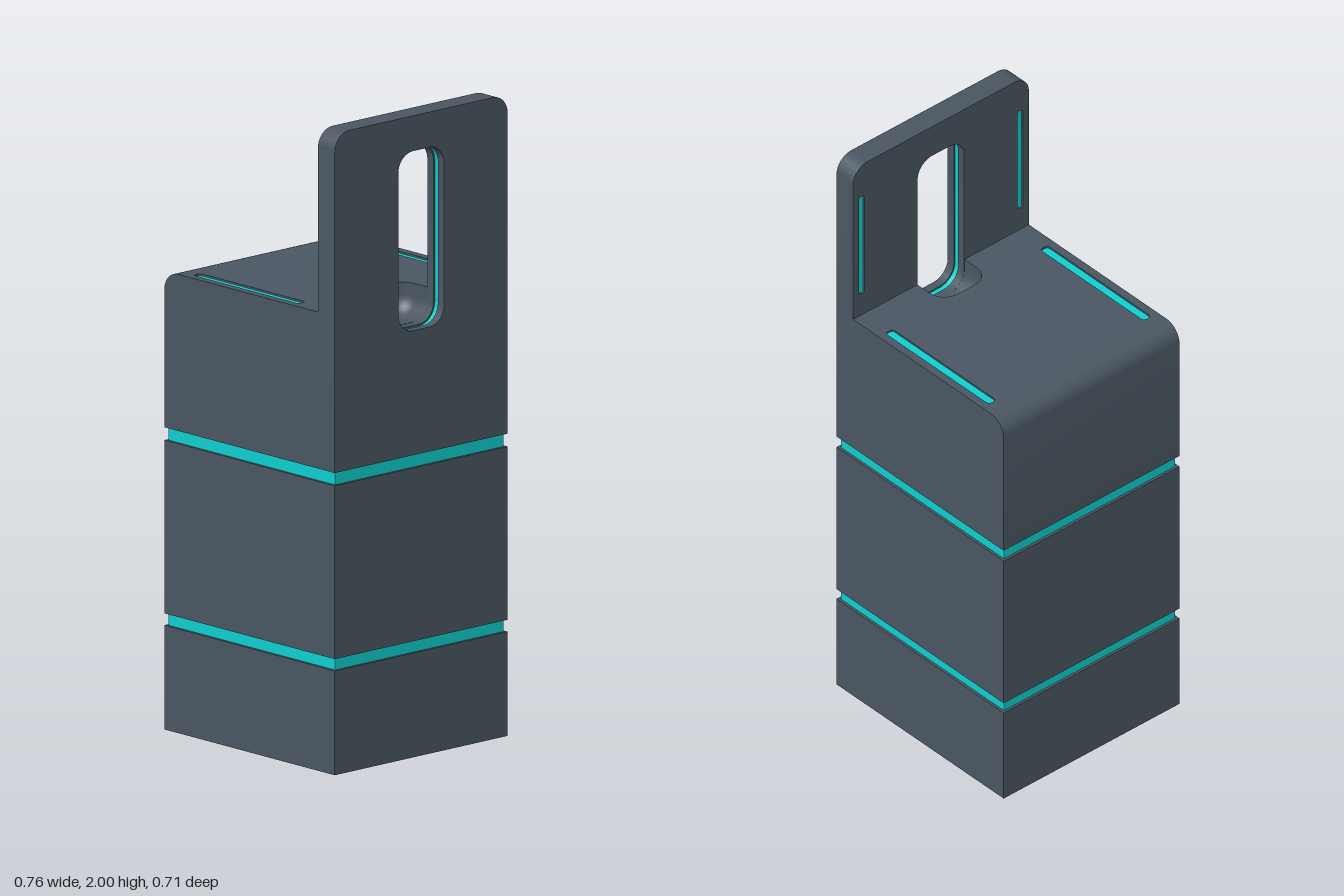
import * as THREE from 'three';
import { toCreasedNormals } from 'three/addons/utils/BufferGeometryUtils.js';

const dark = new THREE.MeshStandardMaterial({ color: 0x4a5662 });
const darkTwoSided = new THREE.MeshStandardMaterial({ color: 0x4a5662, side: THREE.DoubleSide });
const glow = new THREE.MeshStandardMaterial({ color: 0x0fd0d0 });

const HX = 0.38, HZ = 0.355;         // half sizes of the body
const SEAT = 1.43, PLATE = 0.305;    // seat height, inner face of the backrest
const R = 0.06;                      // common corner radius

// Rounded rectangle outline, written into a Shape or Path
function roundRect(path, x0, y0, x1, y1, r) {
  path.moveTo(x0 + r, y0);
  path.lineTo(x1 - r, y0);
  path.absarc(x1 - r, y0 + r, r, -Math.PI / 2, 0);
  path.lineTo(x1, y1 - r);
  path.absarc(x1 - r, y1 - r, r, 0, Math.PI / 2);
  path.lineTo(x0 + r, y1);
  path.absarc(x0 + r, y1 - r, r, Math.PI / 2, Math.PI);
  path.lineTo(x0, y0 + r);
  path.absarc(x0 + r, y0 + r, r, Math.PI, Math.PI * 1.5);
  return path;
}

// Extrude from a to b along the named axis
function extrude(shape, axis, a, b) {
  const geo = new THREE.ExtrudeGeometry(shape, { depth: b - a, bevelEnabled: false, curveSegments: 10 });
  geo.translate(0, 0, a);
  if (axis === 'x') geo.rotateY(Math.PI / 2);
  if (axis === 'y') geo.rotateX(-Math.PI / 2);
  return toCreasedNormals(geo, 0.6);
}

export function createModel() {
  const group = new THREE.Group();
  const add = (name, geo, mat) => {
    const mesh = new THREE.Mesh(geo, mat);
    mesh.name = name;
    group.add(mesh);
  };
  const slab = (name, y0, y1, inset, mat) => add(name,
    new THREE.BoxGeometry(2 * (HX - inset), y1 - y0, 2 * (HZ - inset)).translate(0, (y0 + y1) / 2, 0), mat);

  // Lower blocks and the recessed light bands between them
  slab('baseBlock', 0, 0.325, 0, dark);
  slab('lowerLightBand', 0.325, 0.362, 0.009, glow);
  slab('middleBlock', 0.362, 0.902, 0, dark);
  slab('upperLightBand', 0.902, 0.942, 0.009, glow);

  // Upper block with the rounded seat edge
  const side = new THREE.Shape();
  side.moveTo(-HX, 0.942);
  side.lineTo(PLATE, 0.942);
  side.lineTo(PLATE, 1.33);
  side.lineTo(-0.3, 1.33);
  side.lineTo(-0.3, SEAT);
  side.lineTo(-HX + R, SEAT);
  side.absarc(-HX + R, SEAT - R, R, Math.PI / 2, Math.PI);
  add('upperBlock', extrude(side, 'z', -HZ, HZ), dark);

  // Seat top, notched for the pocket, with two light grooves
  const seat = new THREE.Shape();
  seat.moveTo(-0.3, -HZ);
  seat.lineTo(PLATE, -HZ);
  seat.lineTo(PLATE, -0.095);
  seat.lineTo(0.25, -0.095);
  seat.absarc(0.25, -0.035, R, Math.PI * 1.5, Math.PI, true);
  seat.absarc(0.25, 0.035, R, Math.PI, Math.PI / 2, true);
  seat.lineTo(PLATE, 0.095);
  seat.lineTo(PLATE, HZ);
  seat.lineTo(-0.3, HZ);
  const seatLight = (Type, s) => roundRect(new Type(), -0.282, s * 0.313 - 0.015, 0.19, s * 0.313 + 0.015, 0.012);
  for (const s of [-1, 1]) {
    seat.holes.push(seatLight(THREE.Path, s));
    add(s > 0 ? 'seatLightFront' : 'seatLightBack', extrude(seatLight(THREE.Shape, s), 'y', 1.33, SEAT - 0.006), glow);
  }
  add('seatTop', extrude(seat, 'y', 1.33, SEAT), dark);

  // Scooped pocket: plan outlines that widen from a flat floor
  const pos = [], index = [], rows = 9, cols = 20;
  for (let i = 0; i <= rows; i++) {
    const a = Math.min(i / (rows - 1), 1) * Math.PI / 2;
    const r = R * Math.sin(a);
    const y = i === rows ? SEAT : 1.33 + R * (1 - Math.cos(a));
    pos.push(PLATE, y, -0.035 - r);
    for (let j = 0; j < cols; j++) {
      const half = j < cols / 2;
      const t = Math.PI / 2 * (half ? j : j - cols / 2) / (cols / 2 - 1) + (half ? 0 : Math.PI / 2);
      pos.push(0.25 - r * Math.sin(t), y, (half ? -0.035 : 0.035) - r * Math.cos(t));
    }
    pos.push(PLATE, y, 0.035 + r);
  }
  const n = cols + 2;
  for (let i = 0; i < rows; i++) for (let j = 0; j < n - 1; j++) {
    const a = i * n + j;
    index.push(a, a + 1, a + n, a + 1, a + n + 1, a + n);
  }
  const pocket = new THREE.BufferGeometry();
  pocket.setAttribute('position', new THREE.Float32BufferAttribute(pos, 3));
  pocket.setIndex(index);
  pocket.computeVertexNormals();
  add('pocket', pocket, darkTwoSided);
  add('pocketFloor', new THREE.BoxGeometry(0.055, 0.004, 0.07).translate(0.2775, 1.329, 0), dark);

  // Backrest in three layers, leaving a groove for the light ring in the slot
  const slot = (Type, o) => roundRect(new Type(), -0.094 - o, 1.33 - o, 0.094 + o, 1.89 + o, R + o);
  const backLight = (Type, s) => roundRect(new Type(), s * 0.32 - 0.011, 1.51, s * 0.32 + 0.011, 1.88, 0.009);
  const plate = (slotOffset) => {
    const p = new THREE.Shape();
    p.moveTo(-HZ, 0.942);
    p.lineTo(HZ, 0.942);
    p.lineTo(HZ, 2 - R);
    p.absarc(HZ - R, 2 - R, R, 0, Math.PI / 2);
    p.lineTo(-HZ + R, 2);
    p.absarc(-HZ + R, 2 - R, R, Math.PI / 2, Math.PI);
    p.holes.push(slot(THREE.Path, slotOffset));
    return p;
  };
  const inner = plate(0);
  for (const s of [-1, 1]) {
    inner.holes.push(backLight(THREE.Path, s));
    add(s > 0 ? 'backrestLightBack' : 'backrestLightFront',
      extrude(backLight(THREE.Shape, s), 'x', PLATE + 0.006, 0.333), glow);
  }
  add('backrestInnerLayer', extrude(inner, 'x', PLATE, 0.333), dark);
  add('backrestCore', extrude(plate(0.02), 'x', 0.333, 0.352), dark);
  add('backrestOuterLayer', extrude(plate(0), 'x', 0.352, HX), dark);
  const ring = slot(THREE.Shape, 0.02);
  ring.holes.push(slot(THREE.Path, 0.005));
  add('slotLightRing', extrude(ring, 'x', 0.333, 0.352), glow);

  return group;
}
